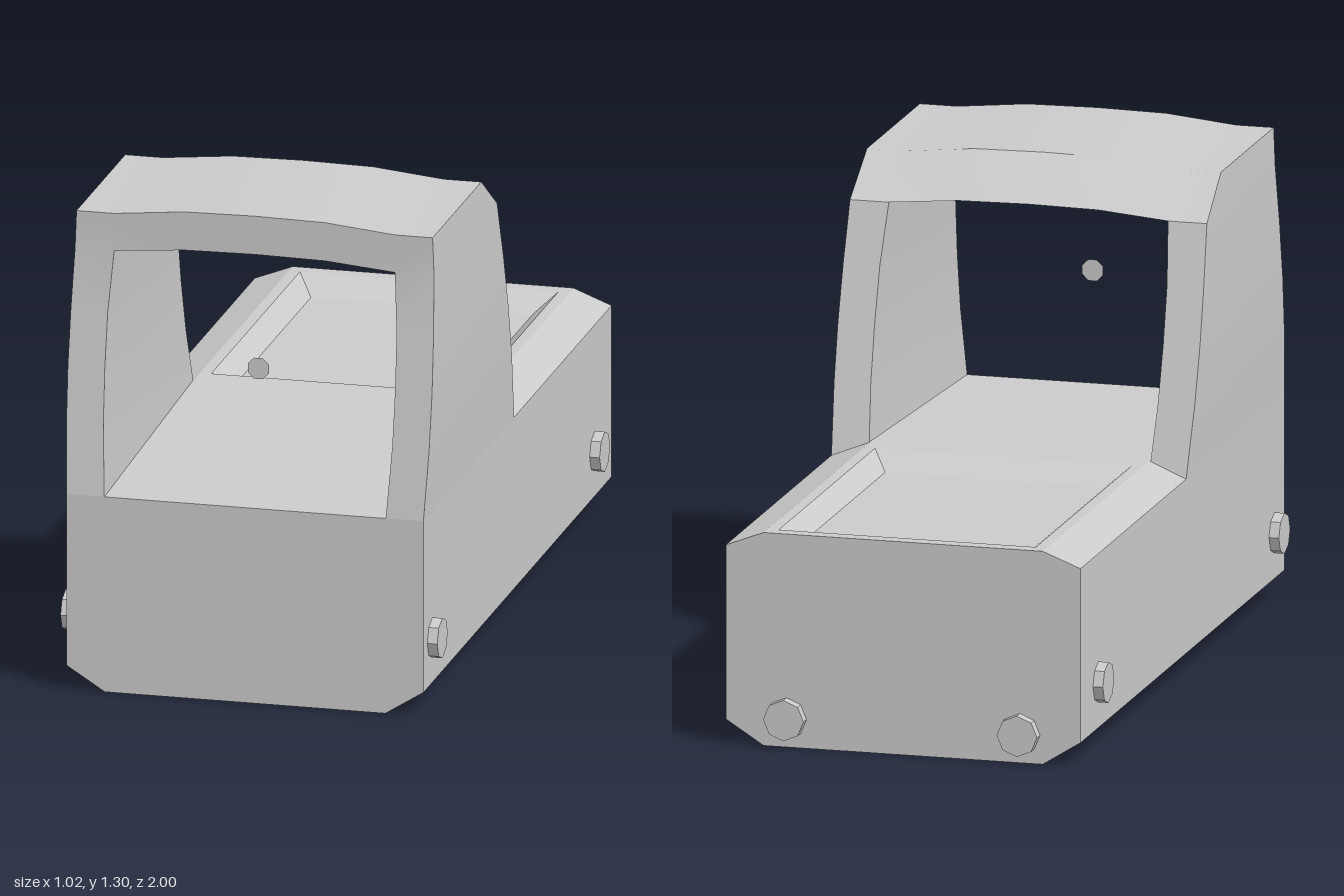
import * as THREE from 'three';
import { toCreasedNormals } from 'three/addons/utils/BufferGeometryUtils.js';

const grey = new THREE.MeshStandardMaterial({ color: 0xcccccc });
const flatGrey = new THREE.MeshStandardMaterial({ color: 0xcccccc, flatShading: true });
const discGrey = new THREE.MeshStandardMaterial({ color: 0xcccccc, side: THREE.DoubleSide });

// Collects counter-clockwise triangles and quads into one creased mesh
function surface(name, build) {
  const points = [];
  const tri = (a, b, c) => {
    const area = new THREE.Triangle(...[a, b, c].map((p) => new THREE.Vector3(...p))).getArea();
    if (area > 1e-7) points.push(...a, ...b, ...c);
  };
  const quad = (a, b, c, d) => { tri(a, b, c); tri(a, c, d); };
  build(quad, tri);
  const geometry = new THREE.BufferGeometry();
  geometry.setAttribute('position', new THREE.Float32BufferAttribute(points, 3));
  const mesh = new THREE.Mesh(toCreasedNormals(geometry, 0.3), grey);
  mesh.name = name;
  return mesh;
}

// Chamfered base with a sloping floor under the hood and a tray behind it
function base() {
  return surface('base', (quad, tri) => {
    const half = [[0.38, 0], [0.483, 0.065], [0.483, 0.535], [0.38, 0.575]];
    const section = [...half.map(([x, y]) => [-x, y]).reverse(), ...half];
    const rings = [-0.97, 0.05, 1].map((z) =>
      section.map(([x, y]) => [x, z === 1 ? Math.min(y, 0.535) : y, z]));
    for (let r = 0; r < 2; r++) {
      const b = rings[r], f = rings[r + 1];
      for (let i = 0; i < 7; i++) quad(f[i], b[i], b[i + 1], f[i + 1]);
    }
    const back = rings[0], front = rings[2];
    for (let i = 1; i < 7; i++) {
      tri(front[0], front[i], front[i + 1]);
      tri(back[0], back[i + 1], back[i]);
    }
    // floor under the hood
    quad(front[0], front[7], rings[1][7], rings[1][0]);
    // tray: deck edge, rim, bottom
    const rect = (x, z0, z1, y) => [[-x, y, z1], [x, y, z1], [x, y, z0], [-x, y, z0]];
    const loops = [
      rect(0.38, -0.97, 0.05, 0.575),
      rect(0.35, -0.93, 0, 0.575),
      rect(0.3, -0.85, -0.08, 0.532),
    ];
    for (let l = 0; l < 2; l++) {
      for (let k = 0; k < 4; k++) {
        const n = (k + 1) % 4;
        quad(loops[l][k], loops[l][n], loops[l + 1][n], loops[l + 1][k]);
      }
    }
    quad(...loops[2]);
  });
}

// Open window hood: arch stations swept from one foot to the other
function hood() {
  return surface('hood', (quad) => {
    const frontZ = (y) => 1 - 0.1 * THREE.MathUtils.clamp((y - 0.535) / 0.645, 0, 1);
    // inner x, inner y, outer x, outer y, inner back z, outer back z
    const half = [
      [0.381, 0.535, 0.483, 0.535, 0.05, 0.05],
      [0.391, 0.72, 0.491, 0.72, 0.104, 0.104],
      [0.393, 0.87, 0.493, 0.87, 0.148, 0.148],
      [0.391, 1.02, 0.491, 1.02, 0.192, 0.192],
      [0.38, 1.18, 0.486, 1.18, 0.24, 0.24],
      [0.38, 1.18, 0.482, 1.283, 0.24, 0.39],
      [0.38, 1.18, 0.38, 1.283, 0.24, 0.39],
      [0.19, 1.197, 0.19, 1.302, 0.24, 0.39],
      [0, 1.2, 0, 1.305, 0.24, 0.39],
    ];
    const mirrored = half.slice(0, -1).reverse().map(([xi, yi, xo, ...rest]) => [-xi, yi, -xo, ...rest]);
    const stations = [...half, ...mirrored].map(([xi, yi, xo, yo, zi, zo]) => ({
      innerFront: [xi, yi, frontZ(yi)], innerBack: [xi, yi, zi],
      outerFront: [xo, yo, frontZ(yo)], outerBack: [xo, yo, zo],
    }));
    for (let i = 0; i < stations.length - 1; i++) {
      const a = stations[i], b = stations[i + 1];
      quad(a.outerFront, a.outerBack, b.outerBack, b.outerFront);
      quad(a.innerFront, b.innerFront, b.innerBack, a.innerBack);
      quad(a.innerFront, a.outerFront, b.outerFront, b.innerFront);
      quad(a.outerBack, a.innerBack, b.innerBack, b.outerBack);
    }
  });
}

function screw(name, x, y, z, axis) {
  const mesh = new THREE.Mesh(new THREE.CylinderGeometry(0.055, 0.055, 0.06, 8), flatGrey);
  mesh.name = name;
  mesh.rotation[axis] = Math.PI / 2;
  mesh.position.set(x, y, z);
  return mesh;
}

export function createModel() {
  const model = new THREE.Group();
  model.name = 'reflexSight';
  model.add(base(), hood());

  // side and rear screws
  for (const side of [1, -1]) {
    const label = side > 0 ? 'left' : 'right';
    model.add(
      screw(`${label}FrontScrew`, side * 0.48, 0.188, 0.905, 'z'),
      screw(`${label}RearScrew`, side * 0.48, 0.188, -0.795, 'z'),
      screw(`${label}BackScrew`, side * 0.318, 0.078, -0.97, 'x'),
    );
  }

  // floating aiming dot in the window
  const dot = new THREE.Mesh(new THREE.CircleGeometry(0.031, 8, Math.PI / 8), discGrey);
  dot.name = 'aimingDot';
  dot.position.set(0, 0.875, 0.86);
  model.add(dot);
  return model;
}
